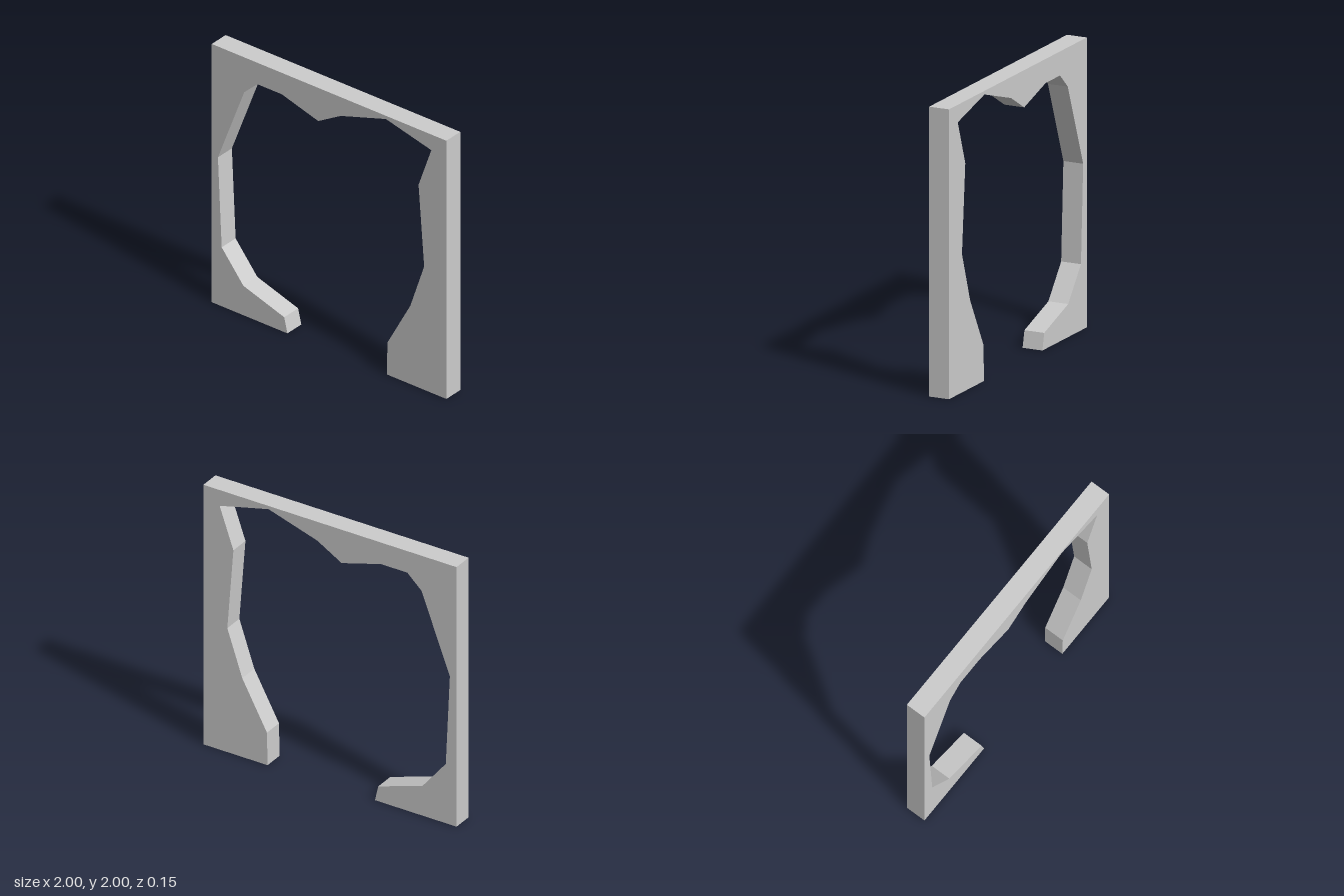
import * as THREE from 'three';

const THICKNESS = 0.148;

// Ragged edge of the opening, from the right foot over the top to the left foot
const OPENING = [
  [-0.355, 0], [-0.382, 0.115], [-0.73, 0.228], [-0.915, 0.457], [-0.947, 1.142],
  [-0.723, 1.73], [-0.611, 1.834], [-0.403, 1.834], [-0.092, 1.743], [0.1, 1.855],
  [0.485, 1.975], [0.872, 1.879], [0.763, 1.57], [0.811, 0.955], [0.693, 0.607],
  [0.498, 0.249], [0.493, 0],
];

export function createModel() {
  const group = new THREE.Group();
  group.name = 'brokenWall';

  // Square wall slab with the opening broken through to the ground
  const outline = [...OPENING, [1, 0], [1, 2], [-1, 2], [-1, 0]];
  const shape = new THREE.Shape(outline.map(([x, y]) => new THREE.Vector2(x, y)));
  const geometry = new THREE.ExtrudeGeometry(shape, { depth: THICKNESS, bevelEnabled: false });
  geometry.translate(0, 0, -THICKNESS / 2);

  const material = new THREE.MeshStandardMaterial({ color: 0xcccccc, flatShading: true });
  const wall = new THREE.Mesh(geometry, material);
  wall.name = 'wallWithOpening';
  group.add(wall);
  return group;
}
